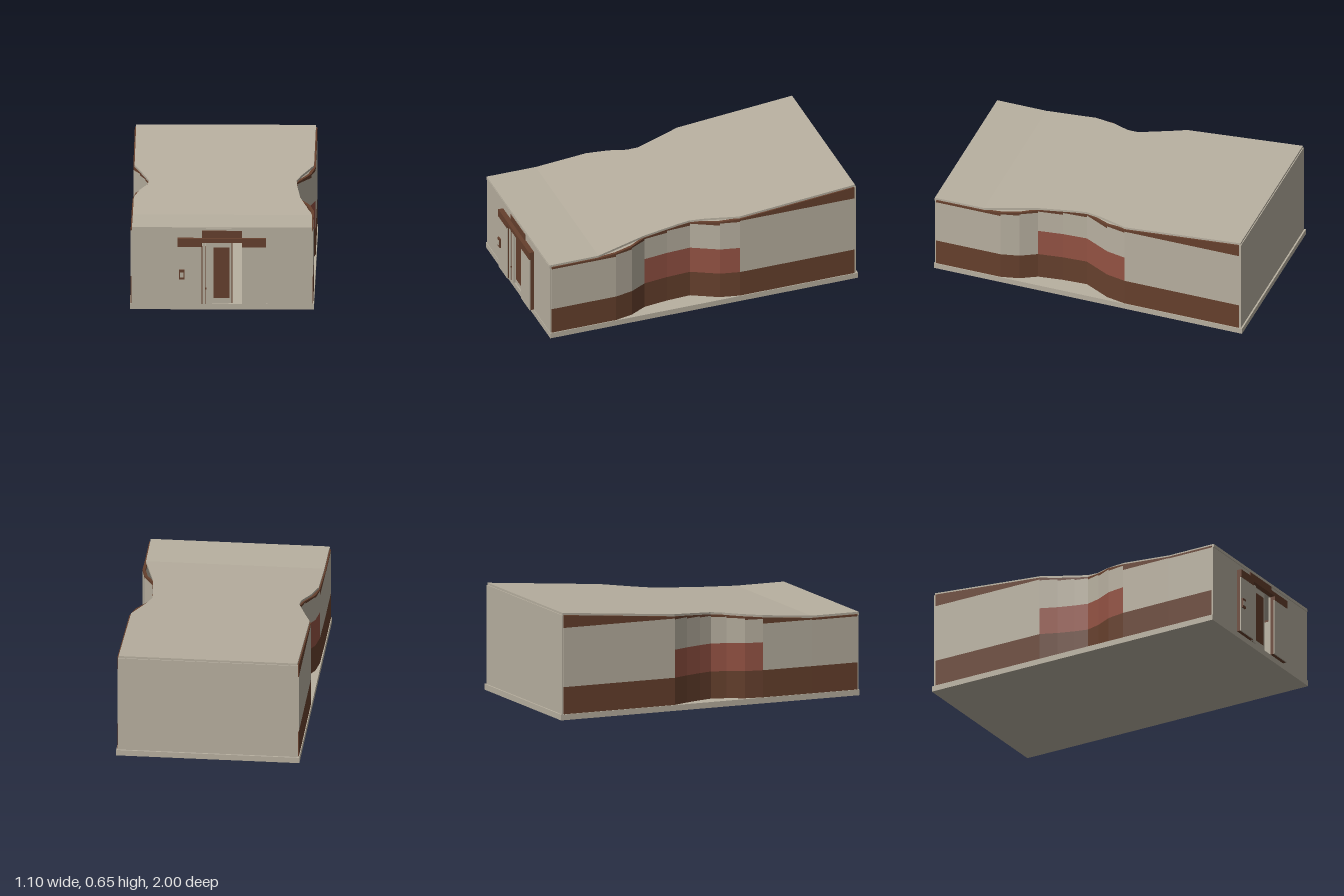
import * as THREE from 'three';

const mat = (name, color) => {
  const m = new THREE.MeshStandardMaterial({ color });
  m.name = name;
  return m;
};

export function createModel() {
  const cream = mat('cream', 0xb8b0a0);
  const brown = mat('brown', 0x66402d);
  const red = mat('brick red', 0x935243);
  const model = new THREE.Group();
  model.name = 'building';

  const add = (name, geometry, material, parent = model) => {
    const mesh = new THREE.Mesh(geometry, material);
    mesh.name = name;
    parent.add(mesh);
    return mesh;
  };

  // Box given by its limits
  const box = (name, material, x0, x1, y0, y1, z0, z1) => {
    const g = new THREE.BoxGeometry(x1 - x0, y1 - y0, z1 - z0);
    g.translate((x0 + x1) / 2, (y0 + y1) / 2, (z0 + z1) / 2);
    return add(name, g, material);
  };

  // Block running between two cross-sections { z, x0, x1, y0, y1 }, front section first
  const prism = (front, back) => {
    const g = new THREE.BoxGeometry(1, 1, 1).toNonIndexed();
    const p = g.attributes.position;
    for (let i = 0; i < p.count; i++) {
      const s = p.getZ(i) > 0 ? front : back;
      p.setXYZ(i, p.getX(i) > 0 ? s.x1 : s.x0, p.getY(i) > 0 ? s.y1 : s.y0, s.z);
    }
    g.computeVertexNormals();
    return g;
  };

  // Roof height: flat at the front, rising to the back
  const roofY = (z) => 0.505 + (Math.max(0, 0.65 - z) / 1.63) * 0.145;
  const ROOF = 0.013;

  // Outlines as [z, x], from front to back
  const wallRight = [[0.95, 0.545], [0.65, 0.545], [0.54, 0.545], [0.43, 0.52], [0.33, 0.465],
    [0.18, 0.445], [0.03, 0.437], [-0.13, 0.52], [-0.25, 0.545], [-0.978, 0.545]];
  const wallLeft = [[0.95, -0.545], [0.65, -0.545], [0.33, -0.542], [0.22, -0.525], [0.12, -0.475],
    [0.03, -0.45], [-0.05, -0.47], [-0.15, -0.503], [-0.25, -0.545], [-0.978, -0.545]];
  const roofRight = [[0.962, 0.537], [0.65, 0.535], [0.33, 0.46], [0.1, 0.437], [0.03, 0.435],
    [-0.06, 0.46], [-0.25, 0.535], [-0.985, 0.537]];
  const roofLeft = [[0.962, -0.537], [0.65, -0.536], [0.33, -0.534], [0.2, -0.5], [0.1, -0.455],
    [0.03, -0.447], [-0.15, -0.503], [-0.25, -0.537], [-0.985, -0.537]];

  const xAt = (line, z) => {
    for (let i = 0; i < line.length - 1; i++) {
      const [za, xa] = line[i], [zb, xb] = line[i + 1];
      if (z <= za && z >= zb) return xa + ((xb - xa) * (za - z)) / (za - zb);
    }
    return line[line.length - 1][1];
  };

  // Base slab
  box('baseSlab', cream, -0.55, 0.55, 0, 0.035, -1, 0.962);

  // Roof in strips between all outline stations
  const roof = new THREE.Group();
  roof.name = 'roof';
  model.add(roof);
  const stations = [...new Set([...roofRight, ...roofLeft].map(([z]) => z))].sort((a, b) => b - a);
  const roofSection = (z) => ({
    z, x0: xAt(roofLeft, z), x1: xAt(roofRight, z), y0: roofY(z) - ROOF, y1: roofY(z),
  });
  for (let i = 0; i < stations.length - 1; i++) {
    add('roofStrip', prism(roofSection(stations[i]), roofSection(stations[i + 1])), cream, roof);
  }

  // Side walls: brown plinth, cream or red middle, cream upper band, brown trim below the roof
  const T = 0.018;
  const sideWall = (name, line, side) => {
    const group = new THREE.Group();
    group.name = name;
    model.add(group);
    for (let i = 0; i < line.length - 1; i++) {
      const a = line[i], b = line[i + 1];
      const mid = (a[0] + b[0]) / 2;
      const section = ([z, x], y0, y1) => ({
        z, y0, y1, x0: side > 0 ? x - T : x, x1: side > 0 ? x : x + T,
      });
      const band = (part, material, y0, ya, yb) =>
        add(part, prism(section(a, y0, ya), section(b, y0, yb)), material, group);
      // Upper band steps up with the roof
      const top = mid < -0.25 ? 0.56 : mid > 0.54 ? 0.48 : roofY(a[0]) - 0.022;
      const inPanel = mid < 0.33 && mid > -0.25;
      band('plinth', brown, 0.035, 0.2, 0.2);
      band(inPanel ? 'redPanel' : 'middleWall', inPanel ? red : cream, 0.2, 0.37, 0.37);
      band('upperWall', cream, 0.37, top, top);
      band('eaveTrim', brown, top, roofY(a[0]) - ROOF, roofY(b[0]) - ROOF);
    }
  };
  sideWall('rightSideWall', wallRight, 1);
  sideWall('leftSideWall', wallLeft, -1);

  // Back wall
  box('backWall', cream, -0.54, 0.54, 0.035, 0.637, -0.99, -0.975);

  // Front wall with door opening, and fascia above
  const rect = (path, x0, x1, y0, y1) =>
    path.moveTo(x0, y0).lineTo(x1, y0).lineTo(x1, y1).lineTo(x0, y1).closePath();
  const front = rect(new THREE.Shape(), -0.54, 0.54, 0.035, 0.485);
  front.holes.push(rect(new THREE.Path(), -0.12, 0.12, 0.036, 0.415));
  const frontGeo = new THREE.ExtrudeGeometry(front, { depth: 0.014, bevelEnabled: false });
  frontGeo.translate(0, 0, 0.945);
  add('frontWall', frontGeo, cream);
  box('frontFascia', cream, -0.538, 0.538, 0.485, 0.5, 0.945, 0.964);

  // Entrance surround: brown backing with cream faces
  for (const s of [-1, 1]) {
    const [x0, x1] = s < 0 ? [-0.265, -0.12] : [0.12, 0.265];
    box('entrancePanelBacking', brown, x0, x1, 0.037, 0.39, 0.958, 0.981);
    box('entrancePanelFace', cream, x0, x1, 0.037, 0.39, 0.981, 0.988);
    box('lintelEnd', brown, x0, x1, 0.39, 0.44, 0.958, 0.99);
  }
  box('lintel', brown, -0.12, 0.12, 0.415, 0.44, 0.958, 0.99);
  box('lintelCrown', brown, -0.12, 0.12, 0.44, 0.484, 0.958, 0.966);

  // Door frame posts and half-open leaf
  box('doorPostGap', brown, -0.12, -0.115, 0.036, 0.385, 0.945, 0.98);
  box('outerDoorPost', cream, -0.115, -0.1, 0.036, 0.415, 0.945, 0.978);
  box('doorPostGroove', brown, -0.1, -0.097, 0.036, 0.385, 0.945, 0.97);
  box('innerDoorPost', cream, -0.097, -0.06, 0.036, 0.415, 0.945, 0.968);
  box('doorLeaf', cream, -0.06, 0.058, 0.038, 0.413, 0.943, 0.955);
  box('doorEdge', brown, 0.058, 0.062, 0.038, 0.413, 0.943, 0.955);
  box('doorGlass', brown, -0.05, 0.045, 0.068, 0.38, 0.955, 0.958);
  box('doorHandle', brown, -0.098, -0.092, 0.125, 0.135, 0.968, 0.974);

  // Entry intercom
  box('intercomCase', brown, -0.257, -0.223, 0.192, 0.252, 0.988, 0.997);
  box('intercomScreen', cream, -0.25, -0.23, 0.206, 0.236, 0.997, 1.0);

  return model;
}
